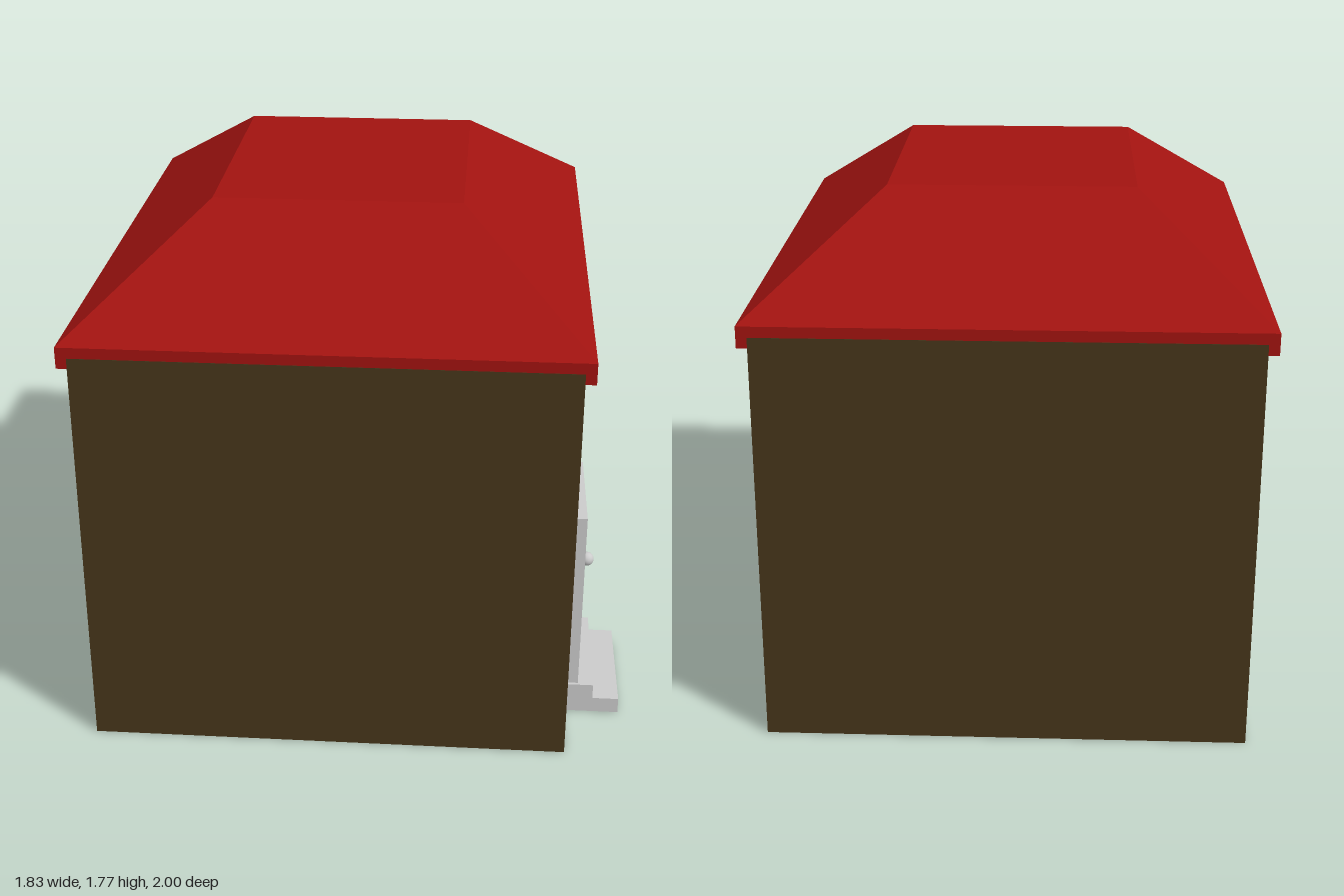
import * as THREE from 'three';

const mat = (color) => new THREE.MeshStandardMaterial({ color });

// Box given by its min and max on each axis
function box(name, [x0, x1], [y0, y1], [z0, z1], material) {
  const mesh = new THREE.Mesh(new THREE.BoxGeometry(x1 - x0, y1 - y0, z1 - z0), material);
  mesh.position.set((x0 + x1) / 2, (y0 + y1) / 2, (z0 + z1) / 2);
  mesh.name = name;
  return mesh;
}

export function createModel() {
  const house = new THREE.Group();
  house.name = 'house';
  const wallMat = mat(0x46351a), roofMat = mat(0xa21310), grey = mat(0xcccccc);
  const wallX = 0.72;

  // Walls, flush with the roof at front and back
  house.add(box('walls', [-0.88, wallX], [0, 1.4], [-1, 1], wallMat));

  // Roof: straight rim, then a hipped part whose top corners are drawn inwards
  const roof = new THREE.Group();
  roof.name = 'roof';
  const midX = -0.08, halfX = 0.835, halfZ = 0.999;
  roof.add(box('roofRim', [midX - halfX, midX + halfX], [1.365, 1.436], [-halfZ, halfZ], roofMat));
  const hip = new THREE.BoxGeometry(2 * halfX, 0.33, 2 * halfZ).toNonIndexed();
  const p = hip.attributes.position;
  for (let i = 0; i < p.count; i++) {
    if (p.getY(i) > 0) {
      p.setX(i, Math.sign(p.getX(i)) * 0.41);
      p.setZ(i, Math.sign(p.getZ(i)) * 0.492);
    }
  }
  hip.computeVertexNormals();
  const hipMesh = new THREE.Mesh(hip, roofMat);
  hipMesh.position.set(midX, 1.601, 0);
  hipMesh.name = 'roofHip';
  roof.add(hipMesh);
  house.add(roof);

  // Door: slim frame around a slightly set-back panel, with a round knob
  const door = new THREE.Group();
  door.name = 'door';
  const x = [wallX, 0.77], z0 = 0.335, z1 = 0.75, top = 0.762, rim = 0.01;
  door.add(box('doorPanel', [wallX, 0.752], [0.11, top - rim], [z0 + rim, z1 - rim], grey));
  door.add(box('doorFrameTop', x, [top - rim, top], [z0, z1], grey));
  for (const z of [z0, z1 - rim]) door.add(box('doorFrameSide', x, [0.11, top - rim], [z, z + rim], grey));
  const knob = new THREE.Mesh(new THREE.SphereGeometry(0.025, 24, 16), grey);
  knob.position.set(0.8, 0.405, 0.4);
  knob.name = 'doorKnob';
  door.add(knob);
  house.add(door);

  // Window pane, barely proud of the wall
  house.add(box('window', [wallX, 0.726], [0.537, 1.057], [-0.635, -0.115], grey));

  // Two steps as one extruded profile
  const profile = new THREE.Shape([
    [wallX, 0], [0.913, 0], [0.913, 0.055], [0.823, 0.055], [0.823, 0.108], [wallX, 0.108],
  ].map(([a, b]) => new THREE.Vector2(a, b)));
  const steps = new THREE.Mesh(
    new THREE.ExtrudeGeometry(profile, { depth: 0.435, bevelEnabled: false }), grey);
  steps.position.z = 0.323;
  steps.name = 'steps';
  house.add(steps);

  return house;
}
